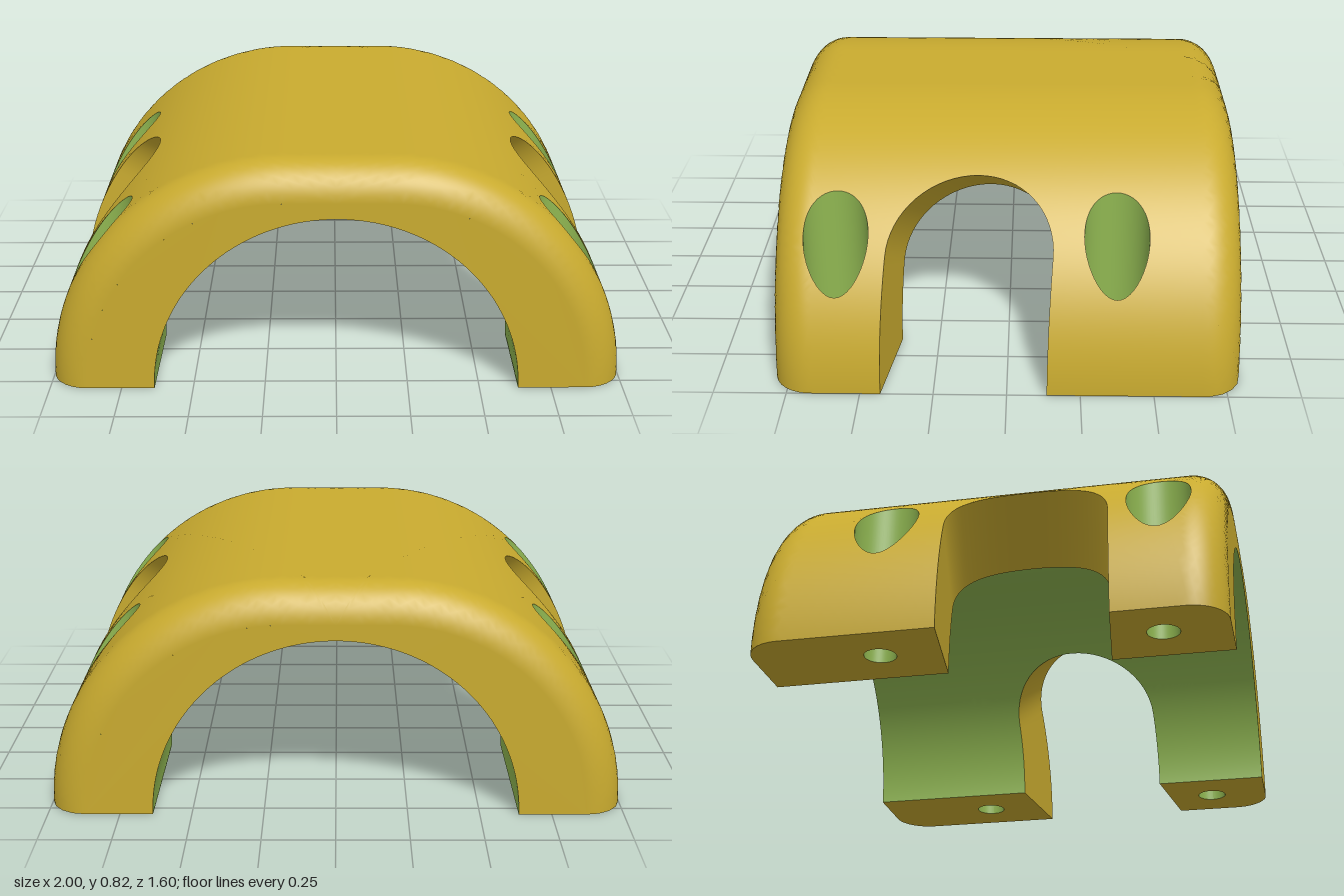
import * as THREE from 'three';

const R = 0.82, FLAT = 0.18, RI = 0.635;        // outer arc, half of flat crown, inner bore
const F = 0.13, ZE = 0.8 - F;                   // rounded ends
const W = ZE + F * Math.PI / 2, A = R * Math.PI / 2;
const BOLT_X = 0.82, BOLT_Z = [-0.37, 0.58], BORE = 0.11, HOLE = 0.055, FLOOR = 0.16;
const SLOT_R = 0.283, SLOT_V = -0.038, TILT = Math.PI / 6;
const V2 = (x, y) => new THREE.Vector2(x, y);
const slotZ = (x) => 0.147 + 0.13 * (x - 1);    // slightly skewed slot axis

// Shape triangulated, subdivided, then bent by map(u, v) -> [position, normal]
function surface(outline, holes, map, flip = false, limit = Infinity) {
  const shape = new THREE.Shape(outline);
  shape.holes = holes.map((h) => new THREE.Path(h));
  const flat = new THREE.ShapeGeometry(shape);
  const p = flat.attributes.position, idx = flat.index.array;
  const pos = [], nor = [];
  const emit = (a, b, c) => {
    const l = [a.distanceTo(b), b.distanceTo(c), c.distanceTo(a)];
    const m = Math.max(...l);
    if (m > limit) {
      if (m === l[1]) [a, b, c] = [b, c, a];
      else if (m === l[2]) [a, b, c] = [c, a, b];
      const mid = a.clone().add(b).multiplyScalar(0.5);
      emit(a, mid, c);
      emit(mid, b, c);
      return;
    }
    for (const q of flip ? [a, c, b] : [a, b, c]) {
      const [P, N] = map(q.x, q.y);
      pos.push(...P);
      nor.push(...N);
    }
  };
  const at = (i) => V2(p.getX(i), p.getY(i));
  for (let i = 0; i < idx.length; i += 3) emit(at(idx[i]), at(idx[i + 1]), at(idx[i + 2]));
  const g = new THREE.BufferGeometry();
  g.setAttribute('position', new THREE.Float32BufferAttribute(pos, 3));
  g.setAttribute('normal', new THREE.Float32BufferAttribute(nor, 3));
  return g;
}

// Smooth wall between two matching rows of points
function ruled(a, b) {
  const idx = [];
  const n = a.length;
  for (let i = 0; i < n - 1; i++) idx.push(i, i + 1, n + i, i + 1, n + i + 1, n + i);
  const g = new THREE.BufferGeometry();
  g.setAttribute('position', new THREE.Float32BufferAttribute([...a, ...b].flat(), 3));
  g.setIndex(idx);
  g.computeVertexNormals();
  return g.toNonIndexed();
}

// Mirror across x, keeping faces outward
function mirrored(g) {
  const m = g.clone();
  for (const key of ['position', 'normal']) {
    const src = g.attributes[key], dst = m.attributes[key];
    for (let i = 0; i < src.count; i++) {
      const j = i % 3 === 0 ? i : i % 3 === 1 ? i + 1 : i - 1;
      dst.setXYZ(i, -src.getX(j), src.getY(j), src.getZ(j));
    }
  }
  return m;
}

// Outer skin: u runs up the arc and over the crown, w runs along z around the end fillets
function outerMap(u, w) {
  const s = Math.sign(w), k = Math.max(0, Math.abs(w) - ZE) / F;
  const z = k ? s * (ZE + F * Math.sin(k)) : w;
  const r = R - F * (1 - Math.cos(k)), t = Math.min(u, A) / R;
  const c = Math.cos(t), y = Math.sin(t);
  return [[FLAT - Math.max(0, u - A) + r * c, r * y, z], [c * Math.cos(k), y * Math.cos(k), s * Math.sin(k)]];
}
const unrollZ = (z) => Math.abs(z) <= ZE ? z : Math.sign(z) * (ZE + F * Math.asin((Math.abs(z) - ZE) / F));

function innerMap(u, z) {
  const t = u / RI;
  return [[RI * Math.cos(t), RI * Math.sin(t), z], [-Math.cos(t), -Math.sin(t), 0]];
}

// Slot outline on an arc of radius r centred at cx: list of [angle, z]
function slotCurve(r, cx) {
  const angle = (v) => TILT + Math.asin((v + cx * Math.sin(TILT)) / r);
  const out = [];
  const push = (t, u) => out.push([t, slotZ(cx + r * Math.cos(t)) + u]);
  const t0 = angle(SLOT_V);
  for (let i = 0; i < 12; i++) push(t0 * i / 12, -SLOT_R);
  for (let i = 0; i <= 32; i++) {
    const f = Math.PI * (1 - i / 32);
    push(angle(SLOT_V + SLOT_R * Math.sin(f)), SLOT_R * Math.cos(f));
  }
  for (let i = 11; i >= 0; i--) push(t0 * i / 12, SLOT_R);
  return out;
}

const ring = (r, cz, n = 48) => Array.from({ length: n + 1 }, (_, i) => {
  const f = (i % n) / n * Math.PI * 2;
  return [BOLT_X + r * Math.cos(f), cz + r * Math.sin(f)];
});
const loop = (pts) => pts.slice(0, -1).map(([x, z]) => V2(x, z));

export function createModel() {
  const group = new THREE.Group();
  const shell = new THREE.MeshStandardMaterial({ name: 'mustard', color: 0xc9ab2f });
  const cut = new THREE.MeshStandardMaterial({ name: 'green', color: 0x8fb651 });
  const add = (name, geo, mat) => {
    for (const [side, g] of [['left', geo], ['right', mirrored(geo)]]) {
      const mesh = new THREE.Mesh(g, mat);
      mesh.name = `${side} ${name}`;
      group.add(mesh);
    }
  };

  const slotOut = slotCurve(R, FLAT), slotIn = slotCurve(RI, 0);

  // Bolt hole rims lying on the outer skin, in unrolled coordinates
  const rims = BOLT_Z.map((cz) => ring(BORE, cz).map(([x, z]) => {
    const w = unrollZ(z), r = R - F * (1 - Math.cos(Math.max(0, Math.abs(w) - ZE) / F));
    return [R * Math.acos((x - FLAT) / r), w];
  }));

  // Curved skins
  const top = A + FLAT;
  add('outer shell', surface(
    [V2(0, -W), ...slotOut.map(([t, z]) => V2(t * R, z)), V2(0, W), V2(top, W), V2(top, -W)],
    rims.map(loop), outerMap, false, 0.05), shell);
  const topIn = RI * Math.PI / 2;
  add('inner bore', surface(
    [V2(0, -0.8), ...slotIn.map(([t, z]) => V2(t * RI, z)), V2(0, 0.8), V2(topIn, 0.8), V2(topIn, -0.8)],
    [], innerMap, true, 0.05), cut);

  // Walls of the side slot
  add('slot wall', ruled(
    slotOut.map(([t, z]) => outerMap(t * R, z)[0]),
    slotIn.map(([t, z]) => innerMap(t * RI, z)[0])), shell);

  // Arched end faces
  const arch = [];
  for (let i = 0; i <= 40; i++) {
    const t = i / 40 * Math.PI / 2;
    arch.push(V2(RI * Math.cos(t), RI * Math.sin(t)));
  }
  arch.push(V2(0, R - F));
  for (let i = 40; i >= 0; i--) {
    const t = i / 40 * Math.PI / 2;
    arch.push(V2(FLAT + (R - F) * Math.cos(t), (R - F) * Math.sin(t)));
  }
  for (const s of [1, -1]) {
    add(s > 0 ? 'front face' : 'back face',
      surface(arch, [], (x, y) => [[x, y, s * 0.8], [0, 0, s]], s < 0), shell);
  }

  BOLT_Z.forEach((cz, i) => {
    const s = Math.sign(cz), end = s > 0 ? 'front' : 'back';
    // Foot with one rounded corner
    const foot = [V2(RI, slotZ(RI) + s * SLOT_R), V2(RI, s * 0.8)];
    for (let k = 0; k <= 10; k++) {
      const f = (1 - k / 10) * Math.PI / 2;
      foot.push(V2(1 - F + F * Math.cos(f), s * (ZE + F * Math.sin(f))));
    }
    foot.push(V2(1, slotZ(1) + s * SLOT_R));
    add(`${end} foot`, surface(foot, [loop(ring(HOLE, cz))], (x, z) => [[x, 0, z], [0, -1, 0]]), shell);

    // Counterbored bolt hole
    const level = (r, y) => ring(r, cz).map(([x, z]) => [x, y, z]);
    add(`${end} counterbore wall`, ruled(level(BORE, FLOOR), rims[i].map(([u, w]) => outerMap(u, w)[0])), cut);
    add(`${end} counterbore floor`, surface(loop(ring(BORE, cz)), [loop(ring(HOLE, cz))],
      (x, z) => [[x, FLOOR, z], [0, 1, 0]], true), cut);
    add(`${end} bolt hole`, ruled(level(HOLE, 0), level(HOLE, FLOOR)), cut);
  });

  return group;
}
